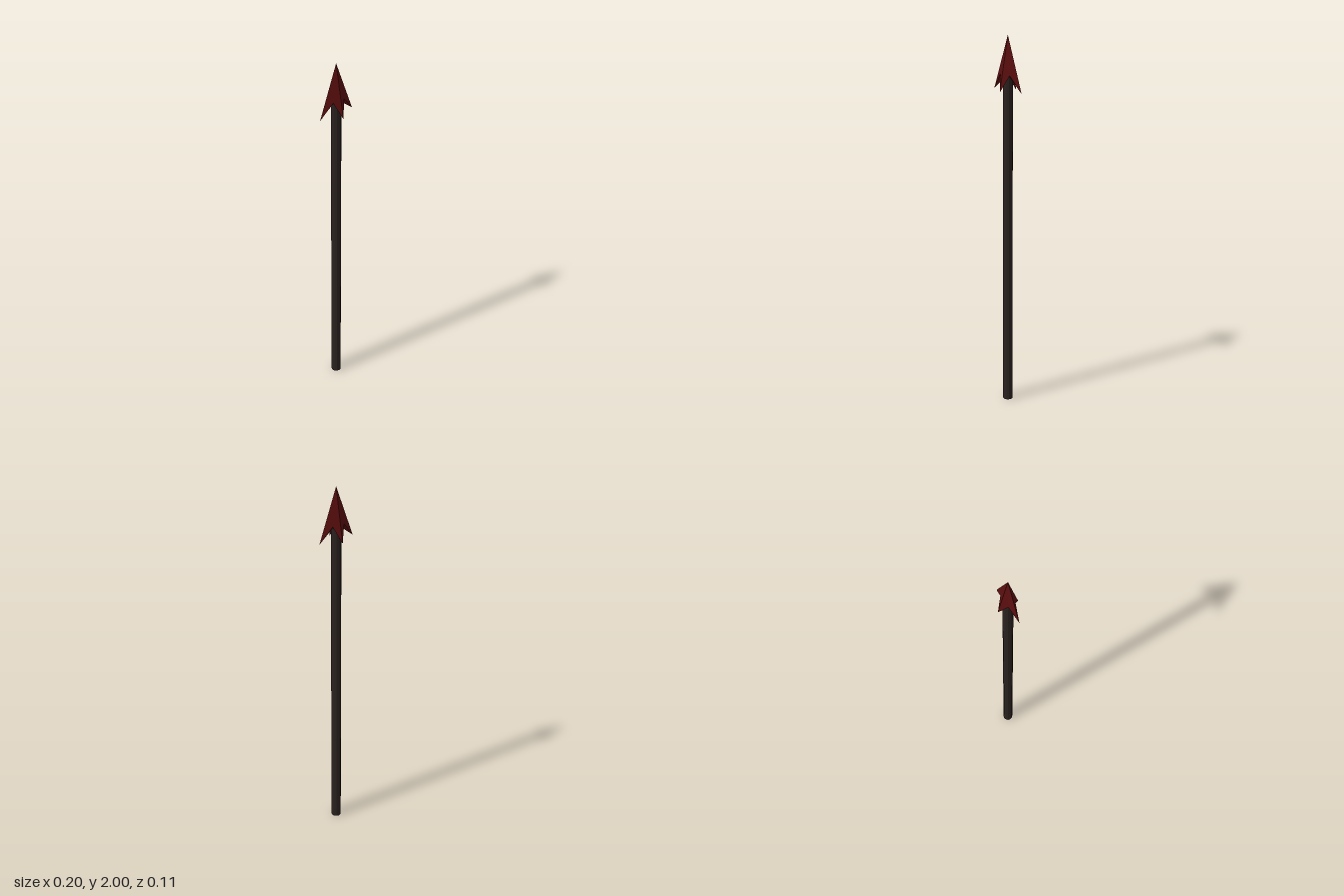
import * as THREE from 'three';

// Four-barbed head: a star-shaped ring joined to the tip above and the socket below
function headGeometry() {
  const tip = [0, 2, 0], socket = [0, 1.8, 0];
  const ring = [];
  const quadrants = [[1, 0], [0, 1], [-1, 0], [0, -1]];
  quadrants.forEach(([cx, cz], i) => {
    const [nx, nz] = quadrants[(i + 1) % 4];
    ring.push([cx * 0.1, 1.715, cz * 0.056]); // barb point
    ring.push([(cx + nx) * 0.034, 1.8, (cz + nz) * 0.02]); // notch between barbs
  });
  const positions = [];
  ring.forEach((a, i) => {
    const b = ring[(i + 1) % ring.length];
    positions.push(...tip, ...b, ...a, ...socket, ...a, ...b);
  });
  const geometry = new THREE.BufferGeometry();
  geometry.setAttribute('position', new THREE.Float32BufferAttribute(positions, 3));
  geometry.computeVertexNormals();
  return geometry;
}

export function createModel() {
  const group = new THREE.Group();
  group.name = 'arrow';

  const wood = new THREE.MeshStandardMaterial({ color: 0x2a2220, flatShading: true });
  const red = new THREE.MeshStandardMaterial({ color: 0x5a0e0e, flatShading: true });

  // Straight faceted shaft, running up into the head
  const shaft = new THREE.Mesh(new THREE.CylinderGeometry(0.026, 0.026, 1.81, 12), wood);
  shaft.position.y = 0.905;
  shaft.name = 'shaft';

  const head = new THREE.Mesh(headGeometry(), red);
  head.name = 'arrowhead';

  group.add(shaft, head);
  return group;
}
